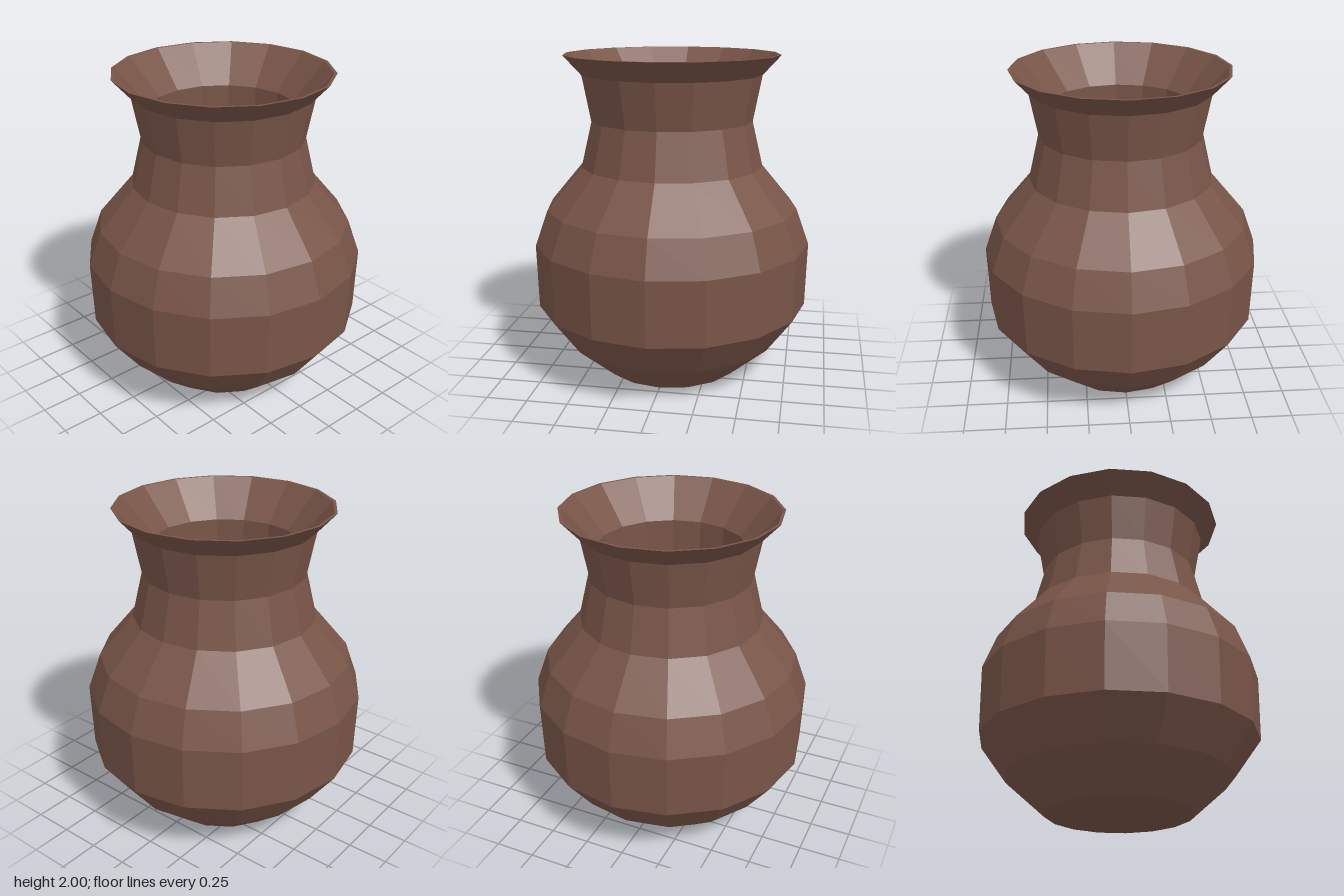
import * as THREE from 'three';

const SIDES = 16;

// Revolves a list of [radius, height] points into a faceted surface
function lathe(name, profile, material) {
  const points = profile.map(([r, y]) => new THREE.Vector2(r, y));
  const mesh = new THREE.Mesh(new THREE.LatheGeometry(points, SIDES), material);
  mesh.name = name;
  return mesh;
}

export function createModel() {
  const group = new THREE.Group();
  group.name = 'vase';
  const clay = new THREE.MeshStandardMaterial({ color: 0x795548, flatShading: true });

  // Base, belly, neck and flared lip, from the bottom up
  group.add(lathe('outerBody', [
    [0, 0], [0.445, 0], [0.69, 0.215], [0.855, 0.44], [0.865, 0.84],
    [0.785, 1.06], [0.567, 1.32], [0.5, 1.6], [0.553, 1.88], [0.663, 2],
  ], clay));

  // Thin flat rim
  group.add(lathe('rim', [[0.663, 2], [0.645, 2]], clay));

  // Sloped mouth, straight inner wall and floor, from the top down
  group.add(lathe('innerWall', [
    [0.645, 2], [0.447, 1.77], [0.447, 0.15], [0, 0.15],
  ], clay));

  return group;
}
